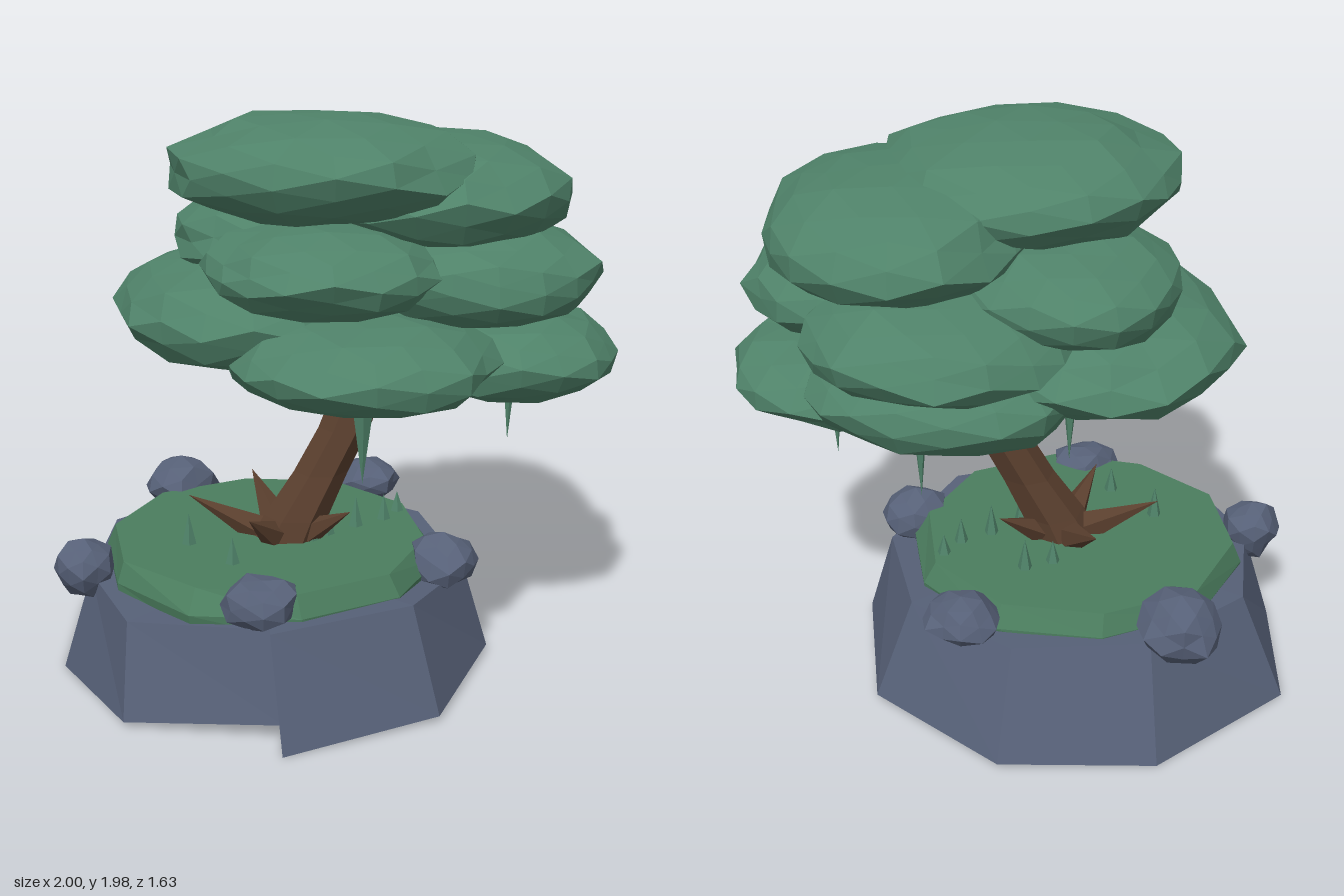
import * as THREE from 'three';

const mat = (name, color) => Object.assign(new THREE.MeshStandardMaterial({ color }), { name });

// repeatable value in -1..1 from a point, so shared corners move together
function hash(x, y, z, seed) {
  const r = (v) => Math.round(v * 100);
  const s = Math.sin(r(x) * 12.9898 + r(y) * 78.233 + r(z) * 37.719 + seed * 4.137) * 43758.5453;
  return (s - Math.floor(s)) * 2 - 1;
}

// one normal per face
function faceted(geo) {
  const g = geo.index ? geo.toNonIndexed() : geo;
  g.computeVertexNormals();
  return g;
}

// lumpy faceted ball
function blob(radii, detail, noise, seed) {
  const g = new THREE.IcosahedronGeometry(1, detail);
  const p = g.attributes.position;
  const v = new THREE.Vector3();
  for (let i = 0; i < p.count; i++) {
    v.fromBufferAttribute(p, i);
    const k = 1 + noise * hash(v.x, v.y, v.z, seed);
    p.setXYZ(i, v.x * k * radii[0], v.y * k * radii[1], v.z * k * radii[2]);
  }
  return faceted(g);
}

// skin over closed rings of [x, y, z], bottom ring first, with end caps
function loft(rings) {
  const n = rings[0].length;
  const pos = [];
  const tri = (...pts) => pts.forEach((q) => pos.push(...q));
  const mid = (ring) => [0, 1, 2].map((k) => ring.reduce((s, q) => s + q[k], 0) / n);
  const lo = rings[0], hi = rings[rings.length - 1];
  for (let i = 0; i < n; i++) {
    const j = (i + 1) % n;
    for (let r = 0; r < rings.length - 1; r++) {
      const a = rings[r], b = rings[r + 1];
      tri(a[i], b[i], b[j]);
      tri(a[i], b[j], a[j]);
    }
    tri(mid(lo), lo[i], lo[j]);
    tri(mid(hi), hi[j], hi[i]);
  }
  const g = new THREE.BufferGeometry();
  g.setAttribute('position', new THREE.Float32BufferAttribute(pos, 3));
  g.computeVertexNormals();
  return g;
}

function ring(cx, y, cz, radius, sides, start = 0, noise = 0) {
  return Array.from({ length: sides }, (_, i) => {
    const a = start + (i / sides) * Math.PI * 2;
    const r = radius * (1 + noise * hash(i, y, radius, 3));
    return [cx + Math.cos(a) * r, y, cz + Math.sin(a) * r];
  });
}

// cone with its base at one point and its tip at another
function spike(from, to, radius, sides) {
  const a = new THREE.Vector3(...from), d = new THREE.Vector3(...to).sub(a);
  const g = new THREE.ConeGeometry(radius, d.length(), sides);
  g.translate(0, d.length() / 2, 0);
  g.applyQuaternion(new THREE.Quaternion().setFromUnitVectors(new THREE.Vector3(0, 1, 0), d.normalize()));
  g.translate(a.x, a.y, a.z);
  return faceted(g);
}

export function createModel() {
  const model = new THREE.Group();
  const stone = mat('slate stone', 0x566077);
  const leaf = mat('leaf green', 0x4f8269);
  const grass = mat('grass green', 0x4b7d5e);
  const bark = mat('brown bark', 0x5a3f2e);
  const add = (name, geo, material, parent = model) => {
    const m = new THREE.Mesh(geo, material);
    m.name = name;
    parent.add(m);
    return m;
  };
  const group = (name) => {
    const g = new THREE.Group();
    g.name = name;
    model.add(g);
    return g;
  };

  // nine-sided rock base with a step where the outline meets at the front
  const bottom = [[-0.22, 0.06, 0.71], [-0.75, 0.02, 0.57], [-0.98, 0, 0.1], [-0.95, 0.01, -0.44], [-0.47, 0, -0.81],
    [0.07, 0.01, -0.81], [0.5, 0.02, -0.44], [0.56, 0.03, 0.12], [0.31, 0.02, 0.62], [-0.23, 0, 0.81]];
  const top = [[-0.24, 0.36, 0.62], [-0.73, 0.34, 0.47], [-0.87, 0.36, 0.1], [-0.8, 0.38, -0.36], [-0.45, 0.38, -0.64],
    [0.02, 0.37, -0.65], [0.37, 0.37, -0.37], [0.47, 0.34, 0.11], [0.23, 0.38, 0.51], [-0.26, 0.37, 0.67]];
  add('rockBase', loft([bottom, top]), stone);

  // grass cap
  add('grassCap', loft([
    ring(-0.22, 0.3, -0.01, 0.6, 10, 0.2),
    ring(-0.22, 0.38, -0.01, 0.61, 10, 0.2, 0.02),
    ring(-0.23, 0.455, -0.01, 0.565, 10, 0.2, 0.03),
  ]), grass);

  // boulders around the rim: x, y, z, radii
  const boulders = group('boulders');
  [[-0.89, 0.385, 0.1, 0.1, 0.11, 0.11], [-0.28, 0.42, 0.53, 0.13, 0.085, 0.12], [0.38, 0.405, 0.19, 0.12, 0.1, 0.125],
    [0.19, 0.44, -0.57, 0.13, 0.08, 0.12], [-0.55, 0.43, -0.6, 0.14, 0.11, 0.15]].forEach(([x, y, z, ...r], i) => {
    add('boulder', blob(r, 1, 0.14, i + 2), stone, boulders).position.set(x, y, z);
  });

  // leaning trunk: x, y, z, radius
  add('trunk', loft([[-0.18, 0.42, 0, 0.135], [-0.13, 0.53, 0, 0.12], [-0.04, 0.69, -0.01, 0.1], [0.045, 0.85, -0.02, 0.095],
    [0.12, 1.05, -0.04, 0.088], [0.2, 1.35, -0.05, 0.07]].map(([x, y, z, r]) => ring(x, y, z, r, 7, 0.3))), bark);

  // pointed roots rising outward
  const roots = group('roots');
  [[-0.52, -0.05], [-0.28, -0.31], [0.06, -0.17], [0.05, 0.17], [-0.31, 0.23]].forEach(([x, z]) => {
    add('root', spike([-0.17 + (x + 0.17) * 0.2, 0.45, z * 0.2], [x, 0.59, z], 0.065, 5), bark, roots);
  });

  // grass tufts: x, z, tip height
  const tufts = group('grassTufts');
  [[-0.52, 0.08, 0.57], [-0.37, 0.27, 0.55], [-0.02, 0.03, 0.58], [0.09, -0.04, 0.57], [0.2, -0.1, 0.55],
    [0.26, -0.18, 0.53], [-0.03, -0.28, 0.57], [-0.13, -0.24, 0.54], [-0.08, 0.08, 0.55]].forEach(([x, z, y]) => {
    add('grassTuft', spike([x, 0.44, z], [x, y, z], 0.03, 5), leaf, tufts);
  });

  // layered canopy: x, y, z, radii
  const canopy = group('canopy');
  [[-0.04, 1.8, 0.08, 0.53, 0.185, 0.52],
    [0.39, 1.69, -0.09, 0.45, 0.2, 0.56],
    [-0.05, 1.49, 0.24, 0.41, 0.15, 0.42],
    [0.25, 1.41, -0.38, 0.46, 0.17, 0.43],
    [0.49, 1.44, 0.08, 0.44, 0.17, 0.46],
    [-0.17, 1.53, -0.22, 0.39, 0.17, 0.44],
    [-0.29, 1.29, -0.1, 0.47, 0.2, 0.56],
    [0.07, 1.2, 0.34, 0.45, 0.16, 0.44],
    [0.59, 1.14, 0.01, 0.41, 0.16, 0.43],
    [0.22, 1.2, -0.32, 0.46, 0.18, 0.4]].forEach(([x, y, z, ...r], i) => {
    add('leafCluster', blob(r, 2, 0.06, i + 11), leaf, canopy).position.set(x, y, z);
  });

  // hanging vines: x, z, top height, tip height, radius
  const vines = group('hangingVines');
  [[0.64, -0.02, 1.14, 0.78, 0.035], [0.57, -0.06, 1.14, 0.93, 0.025], [0.07, 0.37, 1.14, 0.77, 0.05],
    [0.32, -0.41, 1.2, 0.83, 0.035], [-0.18, -0.29, 1.18, 0.9, 0.03]].forEach(([x, z, y0, y1, r]) => {
    add('vine', spike([x, y0, z], [x, y1, z], r, 5), leaf, vines);
  });

  return model;
}
